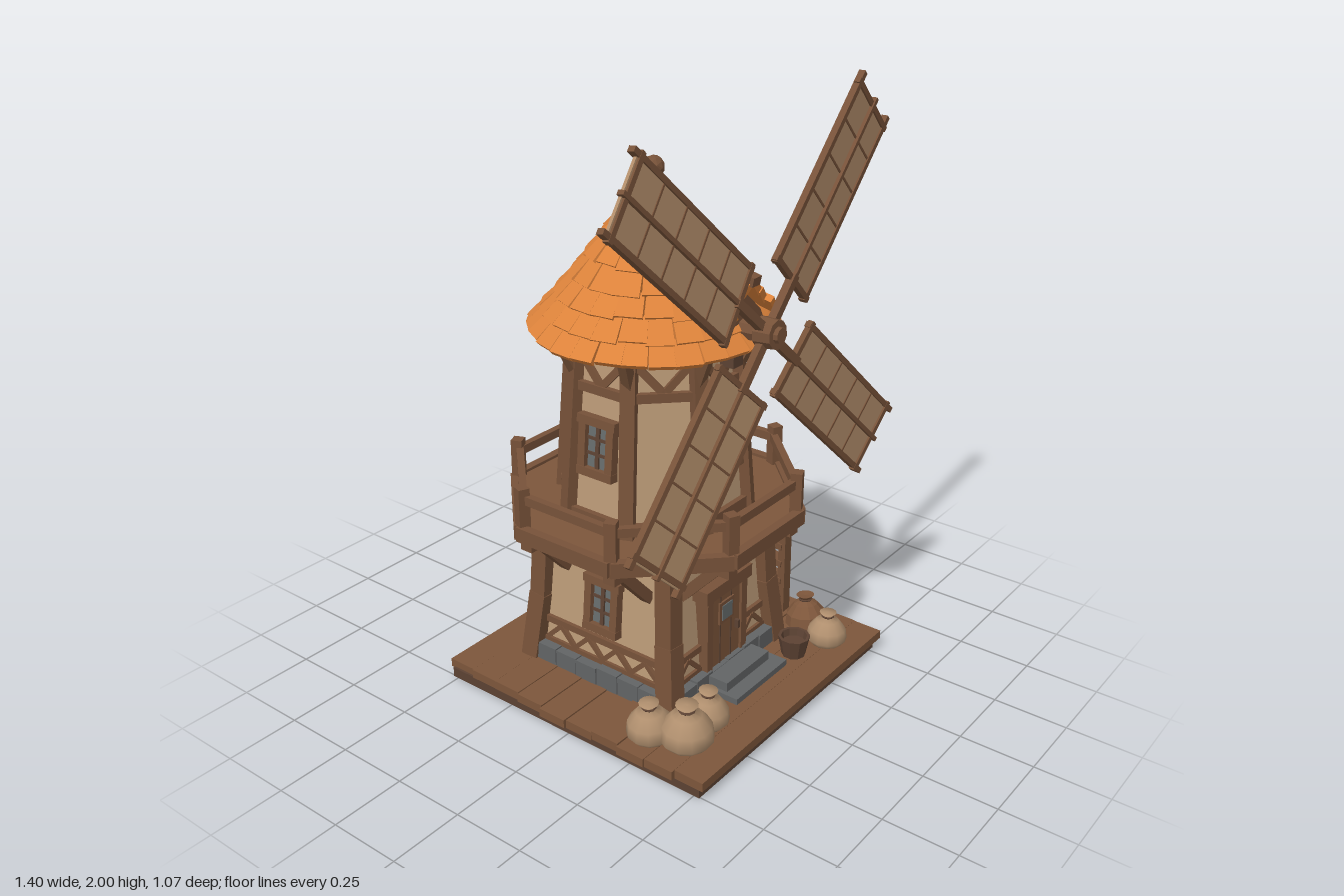
import * as THREE from 'three';
import { mergeGeometries } from 'three/addons/utils/BufferGeometryUtils.js';

const mat = (name, color, flatShading = true) => {
  const m = new THREE.MeshStandardMaterial({ color, flatShading });
  m.name = name;
  return m;
};
const M = {
  wood: mat('wood', 0x775239), dark: mat('darkWood', 0x5c4233), plank: mat('plank', 0x7d563b),
  wall: mat('plaster', 0xbb9a77), roof: mat('roofTile', 0xdd833b), stone: mat('stone', 0x626465),
  sack: mat('sackCloth', 0xb08f6e, false), sail: mat('sailCloth', 0xb18d6a), glass: mat('glass', 0x676c6c),
};
let seed = 7;
const rnd = (a, b) => {
  seed = (seed * 16807) % 2147483647;
  return a + (b - a) * (seed / 2147483647);
};
const V = (x, y, z) => new THREE.Vector3(x, y, z);

function add(parent, name, geo, m, x = 0, y = 0, z = 0) {
  const mesh = new THREE.Mesh(geo, m);
  mesh.name = name;
  mesh.position.set(x, y, z);
  parent.add(mesh);
}
const box = (p, name, m, w, h, d, x, y, z) => add(p, name, new THREE.BoxGeometry(w, h, d), m, x, y, z);
function group(parent, name, x = 0, y = 0, z = 0, turn = 0) {
  const g = new THREE.Group();
  g.name = name;
  g.position.set(x, y, z);
  g.rotation.y = turn;
  parent.add(g);
  return g;
}
// Square timber from a to b, its depth side turned towards "out"
function beam(p, name, m, a, b, w, d = w, out = V(0, 0, 1)) {
  const Y = b.clone().sub(a), len = Y.length();
  Y.normalize();
  const X = Y.clone().cross(out).normalize(), Z = X.clone().cross(Y);
  const g = new THREE.BoxGeometry(w, len, d).applyMatrix4(new THREE.Matrix4().makeBasis(X, Y, Z));
  add(p, name, g, m, (a.x + b.x) / 2, (a.y + b.y) / 2, (a.z + b.z) / 2);
}
// Tapered prism whose flat sides face the axes, sized by apothem
function prism(p, name, m, sides, top, bottom, y0, y1) {
  const c = Math.cos(Math.PI / sides);
  const g = new THREE.CylinderGeometry(top / c, bottom / c, y1 - y0, sides).rotateY(Math.PI / sides);
  add(p, name, g, m, 0, (y0 + y1) / 2, 0);
}
const corner = (i, r, y) => {
  const a = Math.PI / 8 + i * Math.PI / 4;
  return V(Math.sin(a) * r, y, Math.cos(a) * r);
};

function addWindow(face, y, z) {
  const w = group(face, 'window', 0, y, z);
  w.rotation.x = -0.09;
  box(w, 'pane', M.glass, 0.1, 0.15, 0.008, 0, 0, 0.008);
  for (const s of [-1, 1]) {
    box(w, 'windowJamb', M.wood, 0.028, 0.18, 0.035, s * 0.055, 0, 0.012);
    box(w, 'windowRail', M.wood, s > 0 ? 0.15 : 0.14, 0.028, 0.04, 0, s * 0.085, 0.012);
    box(w, 'transom', M.dark, 0.1, 0.009, 0.012, 0, s * 0.025, 0.012);
  }
  box(w, 'mullion', M.dark, 0.014, 0.15, 0.014, 0, 0, 0.012);
}

function addBase(root) {
  const base = group(root, 'base');
  box(base, 'baseSlab', M.dark, 1.03, 0.035, 1.04, 0.01, 0.0175, 0);
  for (let i = 0; i < 10; i++)
    box(base, 'basePlank', M.plank, 1.055 + rnd(-0.03, 0.02), 0.03, 0.105, 0.01 + rnd(-0.006, 0.006),
      0.046 + rnd(-0.003, 0.006), -0.483 + i * 0.1075);
}

function addLowerStorey(tower) {
  prism(tower, 'lowerWall', M.wall, 4, 0.235, 0.28, 0.05, 0.62);
  for (let k = 0; k < 4; k++) {
    const f = group(tower, 'lowerFace', 0, 0, 0, k * Math.PI / 2);
    // Curved corner post
    const pts = [[0.293, 0.05], [0.267, 0.3], [0.252, 0.61]].map(([r, y]) => V(r, y, r));
    for (let i = 0; i < 2; i++) beam(f, 'cornerPost', M.wood, pts[i], pts[i + 1], 0.066 - i * 0.004);
    beam(f, 'headBeam', M.wood, V(-0.25, 0.575, 0.245), V(0.25, 0.575, 0.245), 0.04);
    // Stone footing and zigzag trim
    for (let i = 0; i < 6; i++)
      box(f, 'footingStone', M.stone, 0.085, rnd(0.055, 0.075), 0.05, -0.22 + i * 0.088, 0.09, 0.285 + rnd(0, 0.008));
    for (let i = 0; i < 8; i++) {
      const x = -0.24 + i * 0.06, up = i % 2;
      if (k === 0 && Math.abs(x + 0.03) < 0.1) continue;
      beam(f, 'zigzagTrim', M.wood, V(x, up ? 0.2 : 0.14, 0.275), V(x + 0.06, up ? 0.14 : 0.2, 0.275), 0.016);
    }
    beam(f, 'sillBeam', M.wood, V(-0.26, 0.21, 0.268), V(0.26, 0.21, 0.268), 0.024);
    beam(f, 'footBeam', M.wood, V(-0.27, 0.132, 0.274), V(0.27, 0.132, 0.274), 0.018);
    if (k) addWindow(f, 0.345, 0.257);
    // Balcony brackets
    for (const x of [-0.17, 0.17]) {
      beam(f, 'bracketArm', M.wood, V(x, 0.585, 0.2), V(x, 0.585, 0.44), 0.045, 0.045, V(0, 1, 0));
      beam(f, 'bracketStrut', M.wood, V(x, 0.43, 0.25), V(x, 0.58, 0.39), 0.036);
    }
  }
  // Door and steps
  const d = group(tower, 'door', 0, 0, 0.275);
  box(d, 'doorLeaf', M.plank, 0.17, 0.29, 0.03, 0, 0.25, 0.005);
  for (const s of [-1, 1]) box(d, 'doorJamb', M.wood, 0.03, 0.3, 0.06, s * 0.095, 0.25, 0);
  box(d, 'doorLintel', M.wood, 0.25, 0.045, 0.075, 0, 0.41, 0);
  for (const x of [-0.03, 0.03]) box(d, 'doorSeam', M.dark, 0.005, 0.28, 0.004, x, 0.25, 0.021);
  box(d, 'doorWindowFrame', M.wood, 0.08, 0.08, 0.008, 0, 0.31, 0.023);
  box(d, 'doorWindow', M.glass, 0.055, 0.055, 0.006, 0, 0.31, 0.027);
  box(d, 'doorHandle', M.dark, 0.012, 0.03, 0.02, 0.06, 0.23, 0.025);
  box(d, 'upperStep', M.stone, 0.24, 0.055, 0.1, 0.01, 0.09, 0.06);
  box(d, 'lowerStep', M.stone, 0.29, 0.03, 0.16, 0.02, 0.07, 0.08);
}

function addBalcony(tower) {
  const b = group(tower, 'balcony');
  prism(b, 'deck', M.plank, 8, 0.45, 0.45, 0.61, 0.645);
  for (let i = 0; i < 8; i++) {
    const out = corner(i + 0.5, 1, 0);
    beam(b, 'deckEdge', M.wood, corner(i, 0.49, 0.63), corner(i + 1, 0.49, 0.63), 0.05, 0.03, out);
    beam(b, 'handRail', M.wood, corner(i, 0.468, 0.745), corner(i + 1, 0.468, 0.745), 0.03, 0.024, out);
    beam(b, 'railPost', M.wood, corner(i, 0.474, 0.6), corner(i, 0.474, 0.785), 0.038, 0.038, corner(i, 1, 0));
  }
  // Ladder on the left side
  const L = group(b, 'ladder');
  const foot = [V(0.455, 0.06, 0.23), V(0.455, 0.06, 0.13)], head = [V(0.435, 0.62, 0.24), V(0.435, 0.62, 0.07)];
  for (let i = 0; i < 2; i++) beam(L, 'ladderRail', M.wood, foot[i], head[i], 0.028, 0.04, V(1, 0, 0));
  for (let i = 1; i < 8; i++) {
    const [p, q] = [0, 1].map(j => foot[j].clone().lerp(head[j], i / 8 + (j ? 0.015 : -0.015)));
    beam(L, 'ladderRung', M.wood, p, q, 0.024, 0.05, V(1, 0, 0));
  }
}

function addUpperStorey(tower) {
  prism(tower, 'upperWall', M.wall, 8, 0.24, 0.288, 0.62, 1.26);
  const rad = y => (0.288 - 0.075 * (y - 0.62)) / Math.cos(Math.PI / 8);
  for (let i = 0; i < 8; i++) {
    const out = corner(i + 0.5, 1, 0), at = (t, y) => corner(i, rad(y), y).lerp(corner(i + 1, rad(y), y), t);
    beam(tower, 'upperPost', M.wood, at(0, 0.64), at(0, 1.26), 0.048, 0.048, corner(i, 1, 0));
    for (const [y, w] of [[0.67, 0.04], [1.1, 0.03], [1.225, 0.04]])
      beam(tower, 'ringBeam', M.wood, at(0, y), at(1, y), w, 0.034, out);
    for (const t of [0.05, 0.95])
      beam(tower, 'eaveBrace', M.wood, at(t, 1.21), at(0.5, 1.11), 0.024, 0.026, out);
    // Strut carrying the eaves
    beam(tower, 'eaveStrut', M.wood, corner(i, rad(1.13), 1.13), corner(i, 0.33, 1.25), 0.032);
    // Windows on the faces along the axes
    if (i % 2) addWindow(group(tower, 'upperFace', 0, 0, 0, (i + 1) * Math.PI / 4), 0.915, 0.266);
  }
}

function addRoof(tower) {
  const roof = group(tower, 'roof');
  const R = [[0.376, 1.255], [0.33, 1.308], [0.282, 1.363], [0.235, 1.42], [0.187, 1.482], [0.138, 1.545], [0.082, 1.615]];
  const prof = R.map(([r, y]) => new THREE.Vector2(r - 0.008, y));
  add(roof, 'roofCore', new THREE.LatheGeometry([new THREE.Vector2(0, 1.255), ...prof], 32), M.roof);
  add(roof, 'roofSoffit', new THREE.CylinderGeometry(0.355, 0.34, 0.016, 24), M.dark, 0, 1.247, 0);
  // Overlapping rows of tapered tiles
  const tiles = [];
  for (let k = 0; k < 6; k++) {
    const [r0, y0] = R[k], [r1, y1] = R[k + 1];
    const n = Math.max(10, Math.round(r0 * 2 * Math.PI / 0.08)), lean = Math.atan2(r0 - r1, y1 - y0);
    for (let i = 0; i < n; i++) {
      const len = Math.hypot(r0 - r1, y1 - y0) + 0.008 + rnd(0, 0.014);
      const g = new THREE.BoxGeometry(2 * Math.PI * r0 / n * rnd(1.03, 1.08), len, 0.02);
      const p = g.attributes.position, taper = r1 / r0;
      for (let j = 0; j < p.count; j++) if (p.getY(j) > 0) p.setX(j, p.getX(j) * taper);
      g.translate(0, -len / 2, 0).rotateX(-lean - rnd(0.06, 0.12));
      g.translate(0, y1, r1).rotateY((i + (k % 2) * 0.5 + rnd(-0.05, 0.05)) / n * 2 * Math.PI);
      tiles.push(g);
    }
  }
  add(roof, 'roofTiles', mergeGeometries(tiles), M.roof);
  // Cap and finial
  add(roof, 'roofCap', new THREE.CylinderGeometry(0.02, 0.09, 0.11, 12), M.wood, 0, 1.668, 0);
  add(roof, 'finial', new THREE.IcosahedronGeometry(0.036, 1), M.wood, 0, 1.742, 0);

  // Dormer over the sail shaft
  const d = group(roof, 'dormer');
  const tri = new THREE.Shape([[-0.11, 1.3], [0.11, 1.3], [0.09, 1.34], [0, 1.42], [-0.09, 1.34]].map(p => new THREE.Vector2(...p)));
  add(d, 'dormerFront', new THREE.ExtrudeGeometry(tri, { depth: 0.16, bevelEnabled: false }), M.wood, 0, 0, 0.18);
  for (const s of [-1, 1])
    for (let i = 0; i < 3; i++) {
      const t = i / 3 + 0.17, out = V(s * 0.7, 0.7, 0);
      beam(d, 'dormerTile', M.roof, V(s * (0.005 + t * 0.1), 1.5 - t * 0.1, 0.12 + rnd(0, 0.02)),
        V(s * (0.005 + t * 0.14), 1.45 - t * 0.12, 0.355 + rnd(0, 0.02)), 0.075, 0.022, out);
    }
  beam(d, 'dormerRidge', M.wood, V(0, 1.503, 0.17), V(0, 1.458, 0.385), 0.04, 0.03, V(0, 1, 0));
  box(d, 'shaftBracket', M.dark, 0.05, 0.17, 0.05, 0, 1.26, 0.3);
}

function addSails(root) {
  const w = group(root, 'sailWheel', 0, 1.308, 0.375);
  w.rotation.set(-0.055, -0.03, 0);
  add(w, 'shaft', new THREE.CylinderGeometry(0.035, 0.035, 0.25, 8).rotateX(Math.PI / 2), M.wood, 0, 0, -0.11);
  add(w, 'hub', new THREE.CylinderGeometry(0.046, 0.05, 0.06, 10).rotateX(Math.PI / 2), M.wood, 0, 0, 0.015);
  add(w, 'hubCap', new THREE.CylinderGeometry(0.024, 0.027, 0.018, 10).rotateX(Math.PI / 2), M.wood, 0, 0, 0.05);
  for (const [deg, len] of [[45.5, 0.835], [138.2, 0.82], [226, 0.8], [-42.6, 0.815]]) {
    const b = group(w, 'sail');
    b.rotation.z = deg * Math.PI / 180;
    const blade = group(b, 'sailBlade');
    blade.rotation.x = 0.09;
    const l = len - 0.19, mid = 0.18 + l / 2;
    box(blade, 'sailCloth', M.sail, l, 0.235, 0.01, mid, 0, 0);
    box(blade, 'sailArm', M.wood, 0.2, 0.028, 0.026, 0.1, 0, 0.006);
    box(blade, 'sailSpar', M.wood, len - 0.2, 0.014, 0.022, 0.1 + len / 2, 0, 0.006);
    for (const s of [-1, 1]) box(blade, 'sailEdge', M.wood, l + 0.03, 0.018, 0.022, mid + 0.008, s * 0.118, 0);
    for (let i = 0; i < 6; i++) {
      const end = i === 0 || i === 5;
      box(blade, 'sailBatten', M.wood, end ? 0.018 : 0.007, end ? 0.265 : 0.235, end ? 0.02 : 0.008, 0.185 + i * (l - 0.02) / 5, 0, end ? 0.002 : 0.004);
    }
  }
}

function addSacks(root) {
  const prof = [[0, 0], [0.7, 0], [1, 0.35], [0.92, 0.85], [0.55, 1.3], [0.22, 1.5], [0.42, 1.72], [0, 1.68]];
  const sacks = [[-0.42, 0.27, 0.078, M.sack], [-0.38, 0.38, 0.088, M.sack], [-0.26, 0.365, 0.075, M.sack],
    [0.37, 0.42, 0.07, M.sack], [0.41, 0.315, 0.075, M.plank]];
  for (const [x, z, r, m] of sacks) {
    const s = group(root, 'sack', x, 0.06, z);
    s.rotation.set(rnd(-0.1, 0.1), rnd(0, 3), rnd(-0.1, 0.1));
    add(s, 'sackBody', new THREE.LatheGeometry(prof.map(p => new THREE.Vector2(p[0] * r, p[1] * r)), 12), m);
    add(s, 'sackTie', new THREE.TorusGeometry(r * 0.25, r * 0.07, 5, 10).rotateX(Math.PI / 2), M.dark, 0, r * 1.5, 0);
  }
  const bucket = [[0, 0], [0.04, 0], [0.055, 0.075], [0.045, 0.075], [0.04, 0.05], [0, 0.05]];
  add(root, 'bucket', new THREE.LatheGeometry(bucket.map(p => new THREE.Vector2(...p)), 10), M.dark, 0.24, 0.06, 0.37);
}

export function createModel() {
  const root = new THREE.Group();
  root.name = 'windmill';
  addBase(root);
  const tower = group(root, 'tower', 0, 0, -0.045);
  addLowerStorey(tower);
  addBalcony(tower);
  addUpperStorey(tower);
  addRoof(tower);
  addSails(root);
  addSacks(root);
  return root;
}
